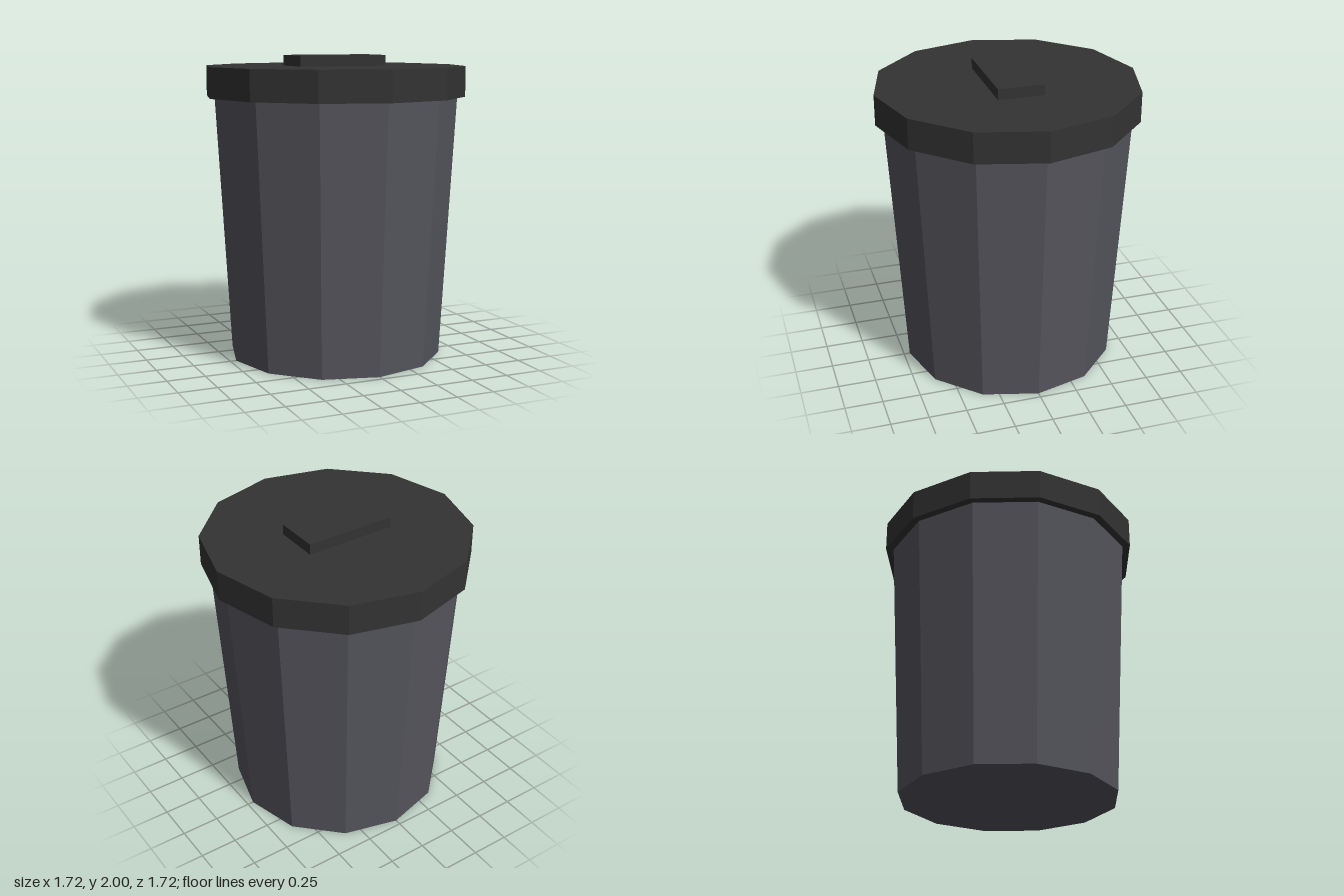
import * as THREE from 'three';

const SIDES = 12;

export function createModel() {
  const binGrey = new THREE.MeshStandardMaterial({ color: 0x55555d, flatShading: true });
  binGrey.name = 'bin grey';
  const lidGrey = new THREE.MeshStandardMaterial({ color: 0x333333, flatShading: true });
  lidGrey.name = 'lid grey';

  const group = new THREE.Group();
  group.name = 'trashCan';

  // Adds a part standing on the given height
  const add = (name, geometry, material, height, bottom) => {
    const mesh = new THREE.Mesh(geometry, material);
    mesh.name = name;
    mesh.position.y = bottom + height / 2;
    group.add(mesh);
  };

  // Tapered body
  add('body', new THREE.CylinderGeometry(0.81, 0.71, 1.73, SIDES), binGrey, 1.73, 0);
  // Overhanging lid
  add('lid', new THREE.CylinderGeometry(0.862, 0.862, 0.2, SIDES), lidGrey, 0.2, 1.73);
  // Flat block handle
  add('handle', new THREE.BoxGeometry(0.605, 0.07, 0.302), lidGrey, 0.07, 1.93);

  return group;
}
